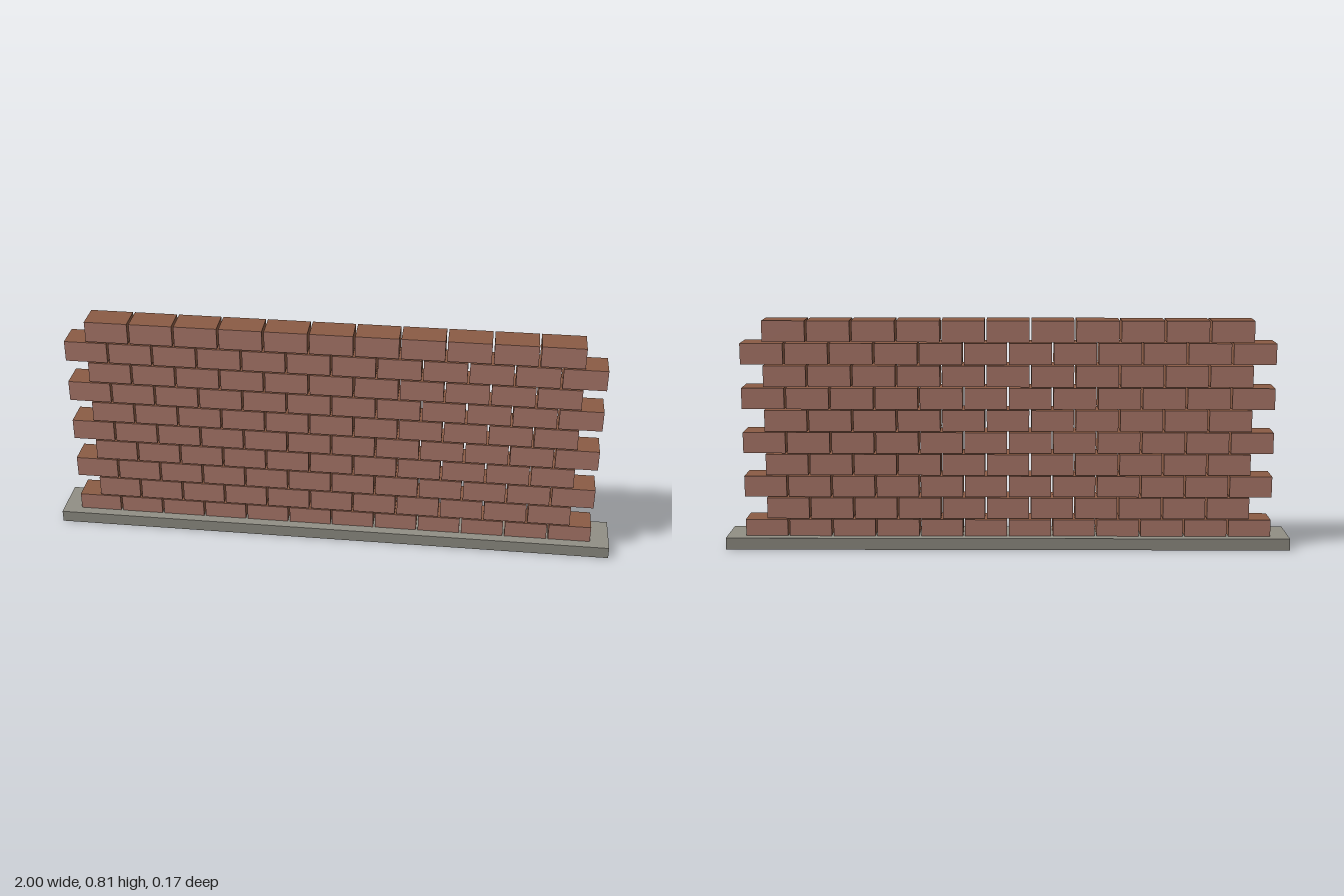
import * as THREE from 'three';

const brickFace = new THREE.MeshStandardMaterial({ color: 0xae7a6c });
brickFace.name = 'brick face';
const brickSide = new THREE.MeshStandardMaterial({ color: 0x8b5c45 });
brickSide.name = 'brick side';
const concrete = new THREE.MeshStandardMaterial({ color: 0x918f85 });
concrete.name = 'concrete';

const PITCH_X = 0.1562, PITCH_Y = 0.0789; // brick plus open joint
const BRICK = { w: 0.149, h: 0.0745, d: 0.098 };
const ROWS = 10, TOP = 0.812;

export function createModel() {
  const wall = new THREE.Group();
  wall.name = 'brickWall';

  // Footing slab
  const base = new THREE.Mesh(new THREE.BoxGeometry(2, 0.042, 0.166), concrete);
  base.name = 'footing';
  base.position.set(0, 0.021, -0.002);
  wall.add(base);

  // Running bond: courses of twelve and eleven bricks alternate.
  // Broad front and back faces are redder than the tops and ends.
  const geometry = new THREE.BoxGeometry(BRICK.w, BRICK.h, BRICK.d);
  const materials = [brickSide, brickSide, brickSide, brickSide, brickFace, brickFace];
  for (let row = 0; row < ROWS; row++) {
    const course = new THREE.Group();
    course.name = `course${row + 1}`;
    // The lowest course is bedded into the footing
    course.position.set(-0.001, TOP - BRICK.h / 2 - (ROWS - 1 - row) * PITCH_Y, -0.003);
    const count = row % 2 === 0 ? 12 : 11;
    for (let i = 0; i < count; i++) {
      const brick = new THREE.Mesh(geometry, materials);
      brick.name = 'brick';
      brick.position.x = (i - (count - 1) / 2) * PITCH_X;
      course.add(brick);
    }
    wall.add(course);
  }
  return wall;
}
